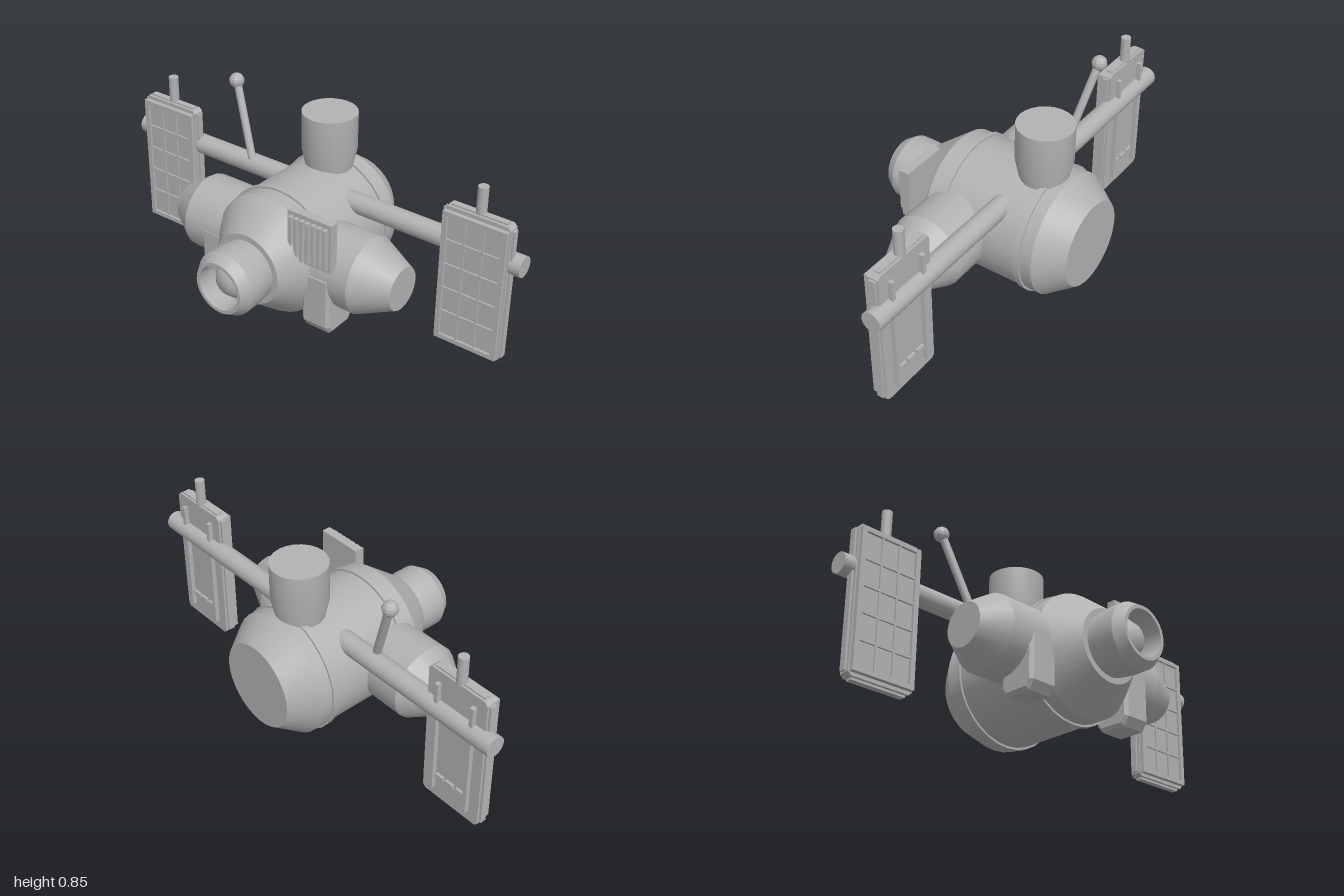
import * as THREE from 'three';
import { toCreasedNormals } from 'three/addons/utils/BufferGeometryUtils.js';

const grey = new THREE.MeshStandardMaterial({ color: 0xb2b2b2 });
grey.name = 'hull grey';

function add(parent, name, geo, x = 0, y = 0, z = 0) {
  const m = new THREE.Mesh(geo, grey);
  m.name = name;
  m.position.set(x, y, z);
  parent.add(m);
  return m;
}

function box(parent, name, x0, x1, y0, y1, z0, z1) {
  return add(parent, name, new THREE.BoxGeometry(x1 - x0, y1 - y0, z1 - z0),
    (x0 + x1) / 2, (y0 + y1) / 2, (z0 + z1) / 2);
}

// Turned part from [radius, height] pairs, along x, y or z
function turned(profile, segments, axis) {
  const g = new THREE.LatheGeometry(profile.map(p => new THREE.Vector2(p[0], p[1])), segments);
  if (axis === 'z') g.rotateX(Math.PI / 2);
  if (axis === 'x') g.rotateZ(-Math.PI / 2);
  return toCreasedNormals(g, 0.42);
}

function outline(points) {
  return new THREE.Shape(points.map(p => new THREE.Vector2(p[0], p[1])));
}

function rod(parent, name, a, b, r, sides = 12) {
  const from = new THREE.Vector3(...a), to = new THREE.Vector3(...b);
  const dir = to.clone().sub(from);
  const m = add(parent, name, new THREE.CylinderGeometry(r, r, dir.length(), sides));
  m.position.copy(from).add(to).multiplyScalar(0.5);
  m.quaternion.setFromUnitVectors(new THREE.Vector3(0, 1, 0), dir.normalize());
  return m;
}

function solarPanel() {
  const g = new THREE.Group();
  const y0 = 0.015, y1 = 0.65, w = 0.148;
  // Slab with clipped corners
  const c = 0.014;
  const slab = outline([[-w + c, y0], [w - c, y0], [w, y0 + c], [w, y1 - c],
    [w - c, y1], [-w + c, y1], [-w, y1 - c], [-w, y0 + c]]);
  add(g, 'panelSlab', new THREE.ExtrudeGeometry(slab, { depth: 0.05, bevelEnabled: false }), 0, 0, -0.17);
  // Raised edge strips around the slab
  for (const s of [-1, 1]) {
    box(g, 'sideStrip', s * 0.152 - 0.006, s * 0.152 + 0.006, 0.035, 0.63, -0.16, -0.132);
    const y = s > 0 ? 0.65 : 0.012;
    box(g, 'endStrip', -0.125, 0.125, y - 0.007, y + 0.007, -0.16, -0.132);
  }
  // Front frame and cells between its bars
  for (const s of [-1, 1]) {
    box(g, 'frameSide', s * 0.132 - 0.011, s * 0.132 + 0.011, 0.03, 0.633, -0.12, -0.1);
  }
  box(g, 'frameBottom', -0.121, 0.121, 0.03, 0.05, -0.12, -0.1);
  box(g, 'frameTop', -0.121, 0.121, 0.615, 0.633, -0.12, -0.1);
  for (const x of [-0.041, 0.041]) box(g, 'cellBar', x - 0.004, x + 0.004, 0.05, 0.615, -0.12, -0.104);
  for (let i = 1; i < 5; i++) {
    const y = 0.05 + i * 0.113;
    box(g, 'cellBar', -0.121, 0.121, y - 0.006, y + 0.006, -0.12, -0.104);
  }
  box(g, 'cells', -0.121, 0.121, 0.05, 0.615, -0.12, -0.112);
  // Back rails and cross links
  for (const x of [-0.09, 0.09]) box(g, 'backRail', x - 0.009, x + 0.009, 0.065, 0.6, -0.19, -0.17);
  for (const x of [-0.055, 0, 0.055]) {
    box(g, 'crossLink', x - 0.021, x + 0.021, 0.125, 0.145, -0.182, -0.17);
  }
  rod(g, 'panelMast', [0, 0.64, -0.15], [0, 0.77, -0.15], 0.022, 16);
  return g;
}

export function createModel() {
  const model = new THREE.Group();
  model.name = 'spaceStation';

  // Main hull with tapered ends
  add(model, 'hull', turned([[0, -0.485], [0.19, -0.485], [0.272, -0.37], [0.272, 0.16],
    [0.16, 0.305], [0, 0.305]], 32, 'z'), 0, 0.3, 0);
  for (const z of [0.085, -0.303]) {
    add(model, 'hullBelt', turned([[0.26, -0.013], [0.281, -0.013], [0.281, 0.013], [0.26, 0.013]],
      32, 'z'), 0, 0.3, z);
  }

  // Open docking port with a dome inside
  add(model, 'dockingPort', turned([[0.133, 0.295], [0.143, 0.37], [0.143, 0.44], [0.115, 0.485],
    [0.1, 0.485], [0.1, 0.39], [0.08, 0.39], [0.074, 0.415], [0.055, 0.437], [0.03, 0.449], [0, 0.453]],
    32, 'z'), 0, 0.3, 0);

  // Side pods, the left one slightly longer
  add(model, 'leftPod', turned([[0.17, 0.1], [0.17, 0.42], [0.095, 0.58], [0, 0.58]], 20, 'x'), 0, 0.3, 0.033);
  const rightPod = add(model, 'rightPod',
    turned([[0.167, 0.1], [0.167, 0.435], [0.095, 0.545], [0, 0.545]], 20, 'x'), 0, 0.3, 0.038);
  rightPod.rotation.y = Math.PI;

  // Upper tower
  add(model, 'tower', turned([[0.1, 0.48], [0.104, 0.56], [0.121, 0.64], [0.121, 0.805], [0, 0.805]], 24, 'y'),
    0, 0, -0.25);

  // Cross truss carrying the solar panels
  rod(model, 'truss', [-1, 0.473, -0.166], [1, 0.473, -0.166], 0.045, 20);
  for (const s of [-1, 1]) {
    const panel = solarPanel();
    panel.name = s > 0 ? 'leftSolarPanel' : 'rightSolarPanel';
    panel.position.x = s * 0.802;
    model.add(panel);
  }

  // Antenna with ball tip
  rod(model, 'antennaRod', [-0.345, 0.495, -0.15], [-0.473, 0.825, -0.207], 0.018);
  add(model, 'antennaBall', toCreasedNormals(new THREE.SphereGeometry(0.034, 10, 8), 0.3), -0.475, 0.825, -0.207);

  // Lower tanks beside the hull, clipped at the corners
  const side = outline([[0.205, 0.31], [0.205, 0.09], [0.18, 0.052], [0.06, 0.052],
    [0.033, 0.085], [0.033, 0.31], [0.05, 0.325], [0.19, 0.325]].reverse());
  for (const s of [-1, 1]) {
    const geo = new THREE.ExtrudeGeometry(side, {
      depth: 0.11, bevelEnabled: true, bevelSegments: 1, bevelSize: 0.014, bevelThickness: 0.014, bevelOffset: -0.014
    });
    geo.rotateY(-Math.PI / 2);
    add(model, 'sideTank', geo, s * 0.271 + 0.055, 0, 0);
  }

  // Slatted radiator at the front left
  const radiator = new THREE.Group();
  radiator.name = 'radiator';
  model.add(radiator);
  box(radiator, 'radiatorPlate', 0.137, 0.352, 0.367, 0.59, 0.17, 0.21);
  for (let i = 0; i < 7; i++) {
    const x = 0.16 + i * 0.0283;
    box(radiator, 'radiatorSlat', x - 0.009, x + 0.009, 0.385, 0.572, 0.208, 0.23);
  }
  return model;
}
